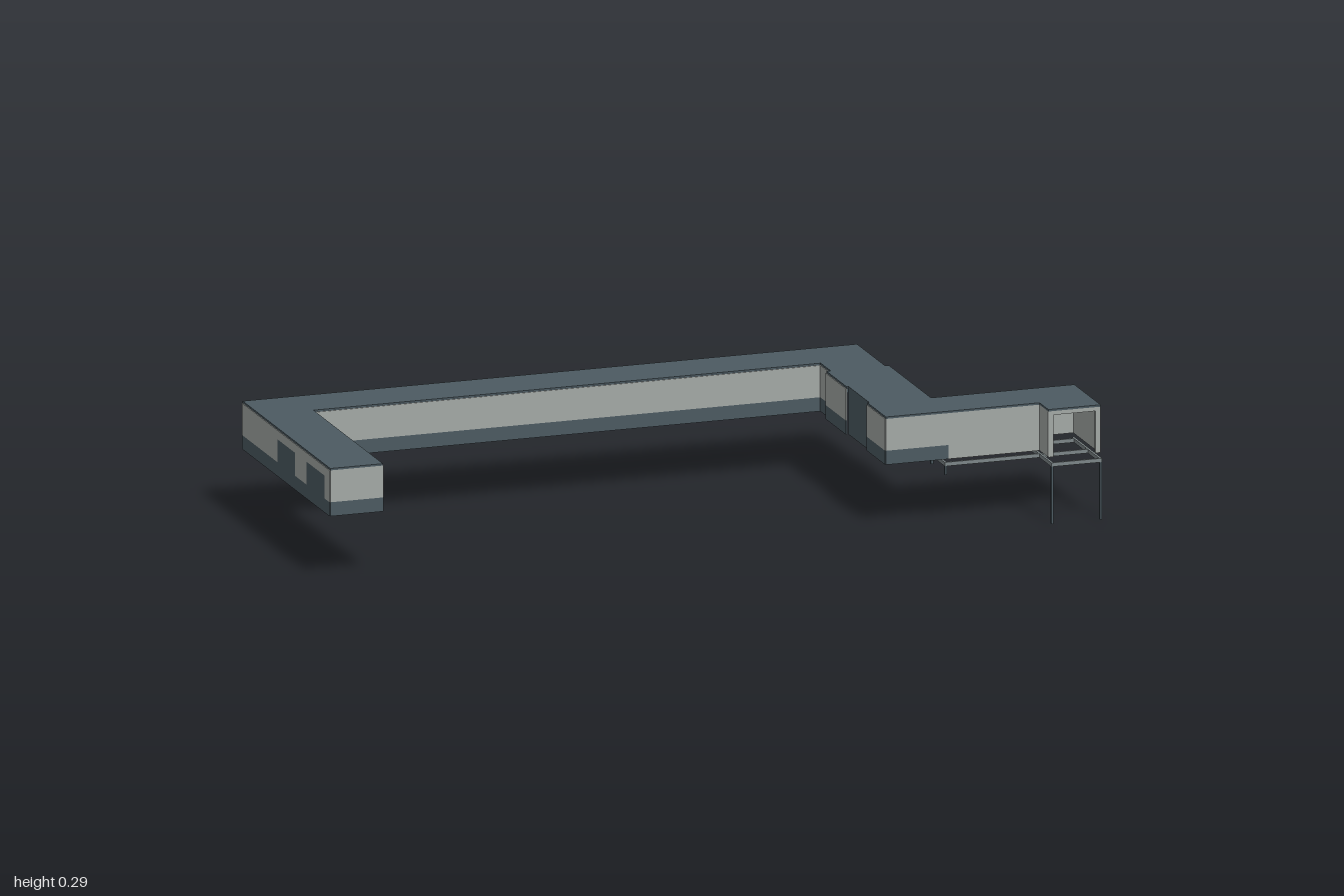
import * as THREE from 'three';

const cladding = new THREE.MeshStandardMaterial({ name: 'pale grey cladding', color: 0xa3a8a5 });
const slate = new THREE.MeshStandardMaterial({ name: 'dark slate', color: 0x4c5a61 });
const steel = new THREE.MeshStandardMaterial({ name: 'grey steel', color: 0x7c8587 });

const BASE = 0.167, BAND = 0.203, EAVE = 0.285, TOP = 0.29, T = 0.004;

function box(parent, name, mat, x0, x1, y0, y1, z0, z1) {
  const mesh = new THREE.Mesh(new THREE.BoxGeometry(x1 - x0, y1 - y0, z1 - z0), mat);
  mesh.position.set((x0 + x1) / 2, (y0 + y1) / 2, (z0 + z1) / 2);
  mesh.name = name;
  parent.add(mesh);
}

// Thin upright sheet between two plan points on one axis
function sheet(parent, name, mat, [xa, za], [xb, zb], y0, y1) {
  const h = T / 2;
  box(parent, name, mat,
    Math.min(xa, xb) - (xa === xb ? h : 0), Math.max(xa, xb) + (xa === xb ? h : 0), y0, y1,
    Math.min(za, zb) - (za === zb ? h : 0), Math.max(za, zb) + (za === zb ? h : 0));
}

// Pale wall above a dark plinth
function bandedWall(parent, a, b) {
  sheet(parent, 'plinth', slate, a, b, BASE, BAND);
  sheet(parent, 'upperWall', cladding, a, b, BAND, EAVE);
}

export function createModel() {
  const model = new THREE.Group();
  model.name = 'corridorBuilding';
  const walls = new THREE.Group();
  walls.name = 'walls';
  const frame = new THREE.Group();
  frame.name = 'supportFrame';
  model.add(walls, frame);

  // Flat roof following the winding plan
  const plan = [[-0.998, -0.373], [0.614, -0.373], [0.614, -0.16], [0.624, -0.16], [0.624, 0.158],
    [1, 0.158], [1, 0.357], [0.863, 0.357], [0.863, 0.29], [0.46, 0.29], [0.46, 0.15], [0.465, 0.15],
    [0.465, -0.01], [0.46, -0.01], [0.46, -0.16], [0.471, -0.16], [0.471, -0.235],
    [-0.86, -0.235], [-0.86, 0.29], [-0.998, 0.29]];
  const shape = new THREE.Shape(plan.map(([x, z]) => new THREE.Vector2(x, z)));
  const roofGeo = new THREE.ExtrudeGeometry(shape, { depth: TOP - EAVE, bevelEnabled: false });
  roofGeo.rotateX(Math.PI / 2).translate(0, TOP, 0);
  const roof = new THREE.Mesh(roofGeo, slate);
  roof.name = 'roof';
  model.add(roof);

  // Left wing, long back corridor and right wing
  const banded = [
    [[-0.86, -0.235], [-0.86, 0.288]], [[-0.998, 0.288], [-0.86, 0.288]],
    [[-0.998, -0.373], [0.614, -0.373]], [[-0.86, -0.235], [0.471, -0.235]],
    [[0.614, -0.373], [0.614, -0.16]], [[0.471, -0.235], [0.471, -0.16]],
    [[0.614, -0.16], [0.624, -0.16]], [[0.46, -0.16], [0.471, -0.16]],
    [[0.624, -0.16], [0.624, 0.16]], [[0.46, -0.16], [0.46, -0.01]],
    [[0.46, 0.15], [0.46, 0.288]], [[0.46, 0.288], [0.624, 0.288]],
  ];
  banded.forEach(([a, b]) => bandedWall(walls, a, b));

  // Outer left wall with two dark door panels
  const X = -0.998, DOOR = 0.262;
  sheet(walls, 'plinth', slate, [X, -0.373], [X, 0.288], BASE, BAND);
  sheet(walls, 'doorLintel', cladding, [X, -0.373], [X, 0.288], DOOR, EAVE);
  [[-0.373, -0.105], [0.03, 0.117], [0.25, 0.288]].forEach(([a, b]) =>
    sheet(walls, 'wallBetweenDoors', cladding, [X, a], [X, b], BAND, DOOR));
  [[-0.105, 0.03], [0.117, 0.25]].forEach(([a, b]) =>
    sheet(walls, 'doorPanel', slate, [X, a], [X, b], BAND, DOOR));

  // Recessed dark panel and the partition inside the back corridor
  sheet(walls, 'recessedPanel', slate, [0.467, -0.01], [0.467, 0.15], BASE, EAVE);
  sheet(walls, 'partition', slate, [-0.86, -0.371], [-0.86, -0.235], BASE, EAVE);

  // Raised side arm and porch, fully pale
  [
    [[0.624, 0.16], [0.998, 0.16]], [[0.998, 0.16], [0.998, 0.355]],
    [[0.624, 0.288], [0.865, 0.288]], [[0.865, 0.288], [0.865, 0.355]],
  ].forEach(([a, b]) => sheet(walls, 'armWall', cladding, a, b, BASE, EAVE));

  // Porch front around an open doorway
  sheet(walls, 'doorJamb', cladding, [0.865, 0.355], [0.876, 0.355], BASE, EAVE);
  sheet(walls, 'doorJamb', cladding, [0.986, 0.355], [0.998, 0.355], BASE, EAVE);
  sheet(walls, 'doorHeader', cladding, [0.876, 0.355], [0.986, 0.355], 0.275, EAVE);

  // Rails under the arm
  const R = 0.003, Y0 = 0.147, Y1 = 0.157;
  [[0.175, 0.617, 0.998], [0.28, 0.617, 0.998], [0.371, 0.865, 0.998]].forEach(([z, a, b]) =>
    box(frame, 'crossRail', steel, a, b, Y0, Y1, z - R, z + R));
  [[0.62, 0.162, 0.283], [0.868, 0.162, 0.374], [0.995, 0.162, 0.374]].forEach(([x, a, b]) =>
    box(frame, 'sideRail', steel, x - R, x + R, Y0, Y1, a, b));

  // Long front legs and short stub posts
  for (const x of [0.868, 0.995]) box(frame, 'leg', slate, x - R, x + R, 0, Y0, 0.368, 0.374);
  for (const z of [0.175, 0.28]) box(frame, 'stubPost', slate, 0.617, 0.623, 0.125, Y0, z - R, z + R);

  return model;
}
